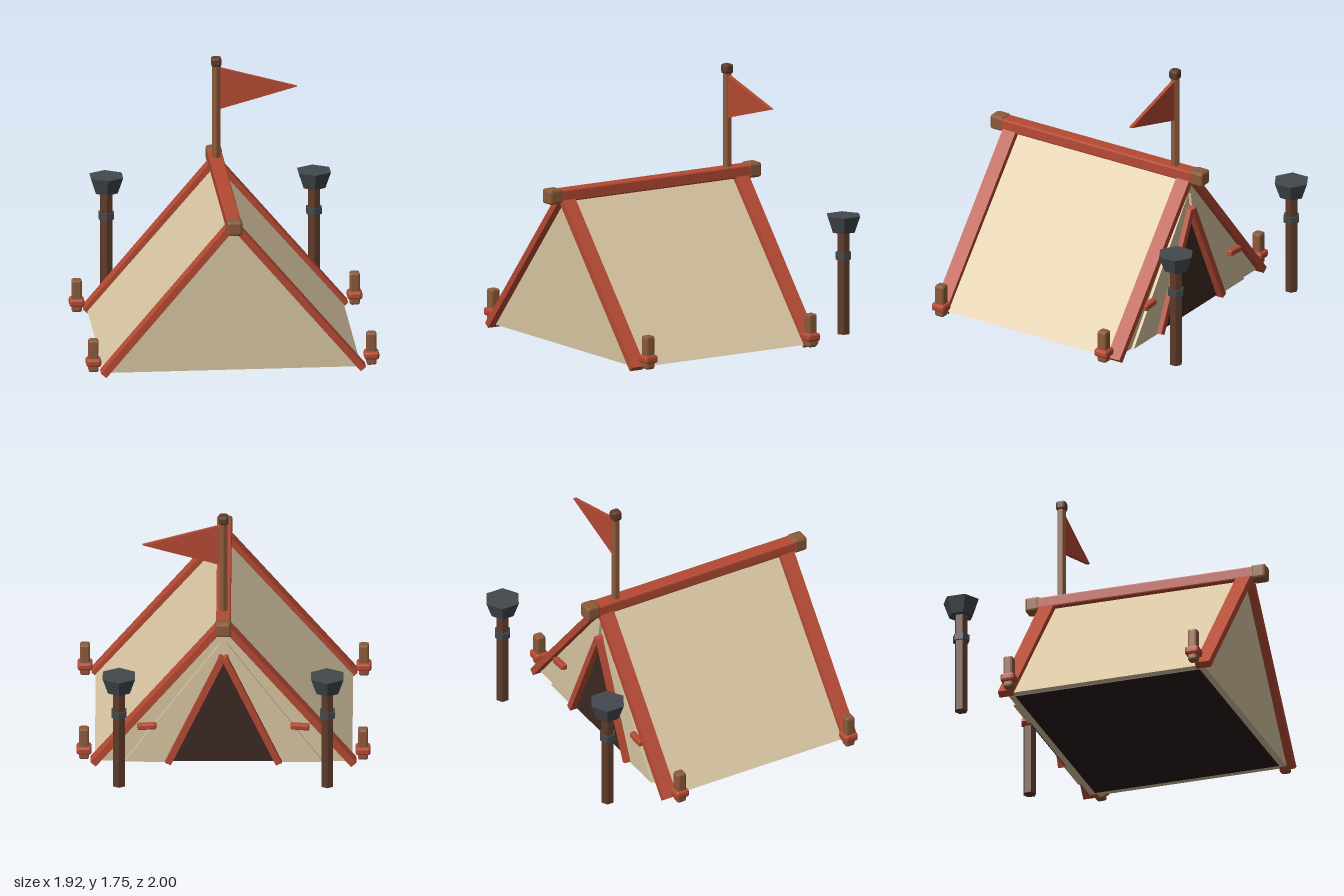
import * as THREE from 'three';
import { RoundedBoxGeometry } from 'three/addons/geometries/RoundedBoxGeometry.js';

const material = (name, color, extra = {}) => {
  const m = new THREE.MeshStandardMaterial({ color, flatShading: true, ...extra });
  m.name = name;
  return m;
};

export function createModel() {
  const canvas = material('canvas', 0xd8c5a2);
  const red = material('red cloth trim', 0xb54a33);
  const wood = material('wood', 0x8b5a3a);
  const darkWood = material('dark wood', 0x5e3a29);
  const iron = material('iron', 0x42484c);
  const dark = material('dark interior', 0x3d2922);
  const floorMat = material('groundsheet', 0x271b18);

  const tent = new THREE.Group();
  tent.name = 'tent';
  const MID = 0.17;      // centre of the tent along z
  const HALF = 0.68;     // half of its length
  const BACK = MID - HALF;

  const add = (name, geometry, mat, x = 0, y = 0, z = 0, parent = tent) => {
    const mesh = new THREE.Mesh(geometry, mat);
    mesh.name = name;
    mesh.position.set(x, y, z);
    parent.add(mesh);
    return mesh;
  };
  // box with small chamfered edges
  const block = (w, h, d, r = 0.012) => new RoundedBoxGeometry(w, h, d, 1, r);
  // flat outline pushed along z, from z0 to z0 + depth
  const slab = (name, points, z0, depth, mat) => add(name,
    new THREE.ExtrudeGeometry(new THREE.Shape(points.map(p => new THREE.Vector2(...p))),
      { depth, bevelEnabled: false }), mat, 0, 0, z0);
  // straight bar between two points in the xy plane
  const bar = (name, [x1, y1], [x2, y2], width, depth, z, mat) => {
    const mesh = add(name, new THREE.BoxGeometry(width, Math.hypot(x2 - x1, y2 - y1), depth),
      mat, (x1 + x2) / 2, (y1 + y2) / 2, z);
    mesh.rotation.z = Math.atan2(x1 - x2, y2 - y1);
    return mesh;
  };
  const hex = (top, bottom, h) => new THREE.CylinderGeometry(top, bottom, h, 6);

  // canvas body and groundsheet
  slab('canvasBody', [[-0.84, 0.02], [0.84, 0.02], [0, 1.0]], BACK, HALF * 2, canvas);
  add('groundsheet', new THREE.BoxGeometry(1.58, 0.006, 1.27), floorMat, 0, 0.018, MID);

  // ridge beam with wooden end caps
  add('ridgeBeam', block(0.095, 0.08, 1.5, 0.01), red, 0, 1.03, MID);
  for (const s of [-1, 1]) add('ridgeCap', block(0.1, 0.1, 0.1, 0.016), wood, 0, 1.03, MID + s * 0.78);

  // doorway
  slab('doorOpening', [[-0.34, 0.022], [0.34, 0.022], [0, 0.76]], BACK - 0.008, 0.008, dark);

  for (const s of [-1, 1]) {
    // sloping trim at both gables
    for (const end of [-1, 1])
      bar('gableTrim', [s * 0.85, 0.0155], [s * 0.012, 1.01], 0.045, 0.1, MID + end * HALF, red);

    // door frame, pulled-back flap and its toggle
    bar('doorFrame', [s * 0.362, 0.022], [s * 0.006, 0.785], 0.042, 0.055, BACK - 0.0275 + s * 0.0005, red);
    const flap = [[0.02, 0.88], [0.04, 0.74], [0.36, 0.022], [0.65, 0.022]].map(([x, y]) => [s * x, y]);
    slab('doorFlap', flap, BACK - 0.02, 0.02, canvas);
    const toggle = add('flapToggle', block(0.125, 0.042, 0.042, 0.01), red, s * 0.5, 0.29, BACK - 0.04);
    toggle.rotation.z = -s * 0.06;

    // corner stakes
    for (const end of [-1, 1]) {
      const stake = new THREE.Group();
      stake.name = 'cornerStake';
      stake.position.set(s * 0.91, 0, MID + end * 0.637);
      add('stakePost', block(0.066, 0.222, 0.066, 0.014), wood, 0, 0.131, 0, stake);
      add('stakeRope', block(0.098, 0.055, 0.098, 0.016), red, 0, 0.087, 0, stake);
      tent.add(stake);
    }

    // standing braziers
    const brazier = new THREE.Group();
    brazier.name = 'brazier';
    brazier.position.set(s * 0.68, 0, -0.878);
    add('brazierPost', hex(0.044, 0.044, 0.69), darkWood, 0, 0.365, 0, brazier);
    add('brazierCollar', hex(0.057, 0.057, 0.044), iron, 0, 0.54, 0, brazier);
    add('brazierBowl', hex(0.122, 0.082, 0.11), iron, 0, 0.755, 0, brazier);
    tent.add(brazier);
  }

  // flagpole and pennant
  add('flagpole', hex(0.03, 0.03, 0.65), wood, 0, 1.375, -0.42);
  add('flagpoleCap', block(0.066, 0.066, 0.066, 0.016), darkWood, 0, 1.722, -0.42);
  slab('pennant', [[0.025, 1.4], [0.53, 1.54], [0.025, 1.68]], -0.433, 0.024, red);

  return tent;
}
